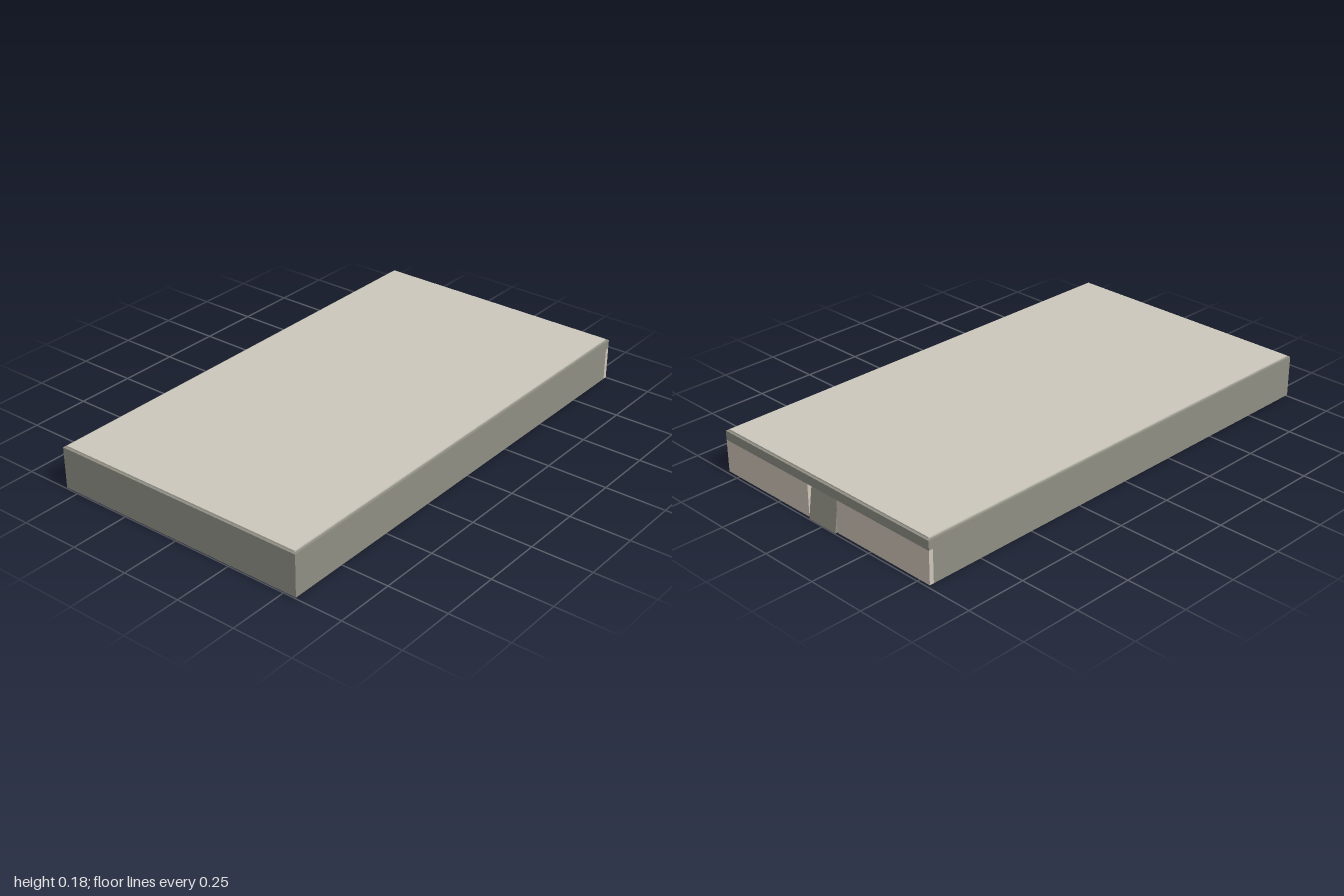
import * as THREE from 'three';

const mat = (name, color) => {
  const m = new THREE.MeshStandardMaterial({ color });
  m.name = name;
  return m;
};

export function createModel() {
  const casing = mat('casing grey', 0x8e8e84);
  const cream = mat('top cream', 0xccc7bb);
  const panel = mat('rear panel beige', 0xcec5b9);
  const brown = mat('strip brown', 0x582414);
  const dark = mat('pinhole dark', 0x2a2a27);

  const model = new THREE.Group();
  model.name = 'flatCase';
  const add = (name, geometry, material) => {
    const mesh = new THREE.Mesh(geometry, material);
    mesh.name = name;
    model.add(mesh);
    return mesh;
  };
  // Box given by its lower and upper limits on each axis
  const box = (name, [x0, x1], [y0, y1], [z0, z1], material) =>
    add(name, new THREE.BoxGeometry(x1 - x0, y1 - y0, z1 - z0), material)
      .position.set((x0 + x1) / 2, (y0 + y1) / 2, (z0 + z1) / 2);

  const W = 0.555, back = -0.993;

  // Casing, with a shallow recess at the rear below the lid band
  box('casing', [-W, W], [0.004, 0.177], [-0.975, 1], casing);
  box('rearBand', [-W, W], [0.139, 0.177], [back, -0.975], casing);
  box('basePlate', [-W + 0.008, W - 0.008], [0, 0.004], [-0.985, 0.992], casing);

  // Inset top panel
  box('topPanel', [-0.545, 0.545], [0.177, 0.183], [-0.983, 0.99], cream);

  // Two rear panels either side of the centre tab
  for (const s of [-1, 1]) {
    const xs = [s * 0.08, s * W].sort((a, b) => a - b);
    box(s < 0 ? 'rearPanelRight' : 'rearPanelLeft', xs, [0.004, 0.139], [back, -0.975], panel);
  }

  // Centre tab, leaning inwards towards its top
  const profile = new THREE.Shape([
    new THREE.Vector2(0.97, 0.002), new THREE.Vector2(1, 0.002),
    new THREE.Vector2(0.98, 0.139), new THREE.Vector2(0.97, 0.139),
  ]);
  const tab = new THREE.ExtrudeGeometry(profile, { depth: 0.144, bevelEnabled: false });
  tab.translate(0, 0, -0.072).rotateY(Math.PI / 2);
  add('rearTab', tab, casing);

  // Strip and pinholes on the underside
  box('undersideStrip', [0.117, 0.4], [-0.001, 0.001], [0.86, 0.92], brown);
  for (const [x, z] of [[0.318, 0.274], [-0.222, 0.27], [-0.33, 0.26]]) {
    add('pinhole', new THREE.CylinderGeometry(0.004, 0.004, 0.002, 10), dark).position.set(x, 0, z);
  }

  return model;
}
